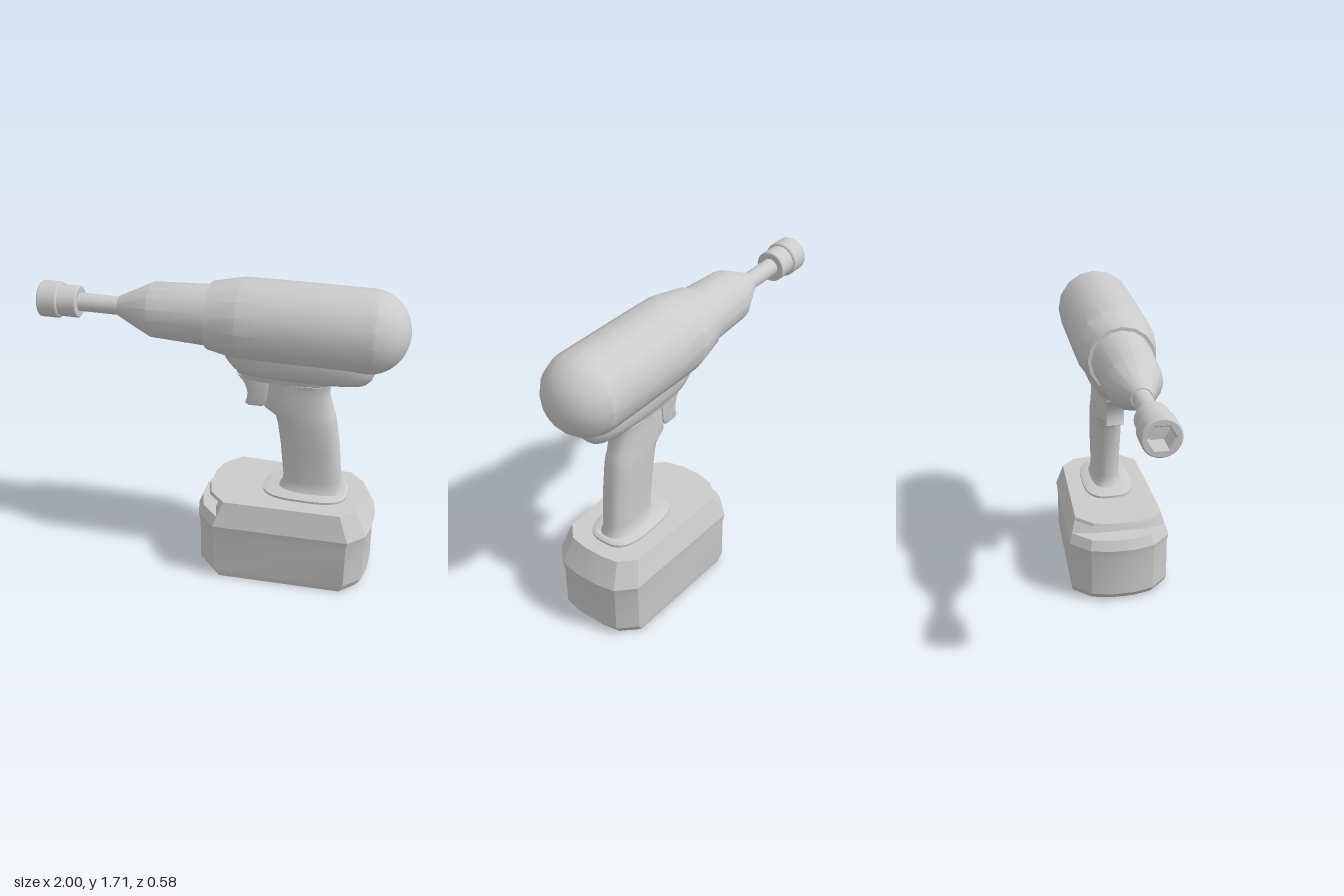
import * as THREE from 'three';
import { toCreasedNormals } from 'three/addons/utils/BufferGeometryUtils.js';

const AXIS_Y = 1.487; // height of the barrel axis

// Skin a stack of rings (bottom to top, each a loop of [x, y, z]) and cap both ends
function loft(rings, crease) {
  const n = rings[0].length, pos = [], index = [];
  rings.forEach(ring => ring.forEach(p => pos.push(...p)));
  for (let r = 0; r < rings.length - 1; r++) {
    for (let i = 0; i < n; i++) {
      const a = r * n + i, b = r * n + (i + 1) % n;
      index.push(a, a + n, b, b, a + n, b + n);
    }
  }
  [0, rings.length - 1].forEach(r => {
    const c = pos.length / 3;
    const mid = [0, 1, 2].map(k => rings[r].reduce((s, p) => s + p[k], 0) / n);
    pos.push(...mid);
    for (let i = 0; i < n; i++) {
      const a = r * n + i, b = r * n + (i + 1) % n;
      if (r === 0) index.push(c, a, b);
      else index.push(c, b, a);
    }
  });
  const g = new THREE.BufferGeometry();
  g.setAttribute('position', new THREE.Float32BufferAttribute(pos, 3));
  g.setIndex(index);
  return toCreasedNormals(g, crease);
}

// Rounded horizontal section from x0 to x1 with half width w
function section([y, x0, x1, w], power = 2.6, n = 32) {
  const bend = v => Math.sign(v) * Math.abs(v) ** (2 / power);
  return Array.from({ length: n }, (_, i) => {
    const t = i / n * Math.PI * 2;
    return [(x0 + x1) / 2 + (x1 - x0) / 2 * bend(Math.cos(t)), y, w * bend(Math.sin(t))];
  });
}

// Turned part along x from [x, radius] pairs
function turned(profile, sides) {
  const g = new THREE.LatheGeometry(profile.map(([x, r]) => new THREE.Vector2(r, x)), sides);
  g.rotateZ(-Math.PI / 2);
  g.translate(0, AXIS_Y, 0);
  return toCreasedNormals(g, 0.43);
}

export function createModel() {
  const group = new THREE.Group();
  const material = new THREE.MeshStandardMaterial({ color: 0xcccccc });
  const add = (name, geometry) => {
    const mesh = new THREE.Mesh(geometry, material);
    mesh.name = name;
    group.add(mesh);
  };

  // Motor housing with domed rear
  const housing = [[-0.05, 0], [-0.05, 0.182], [0.12, 0.218], [0.3, 0.22]];
  for (let i = 0; i <= 8; i++) {
    const t = i / 8 * Math.PI / 2;
    housing.push([0.79 + 0.21 * Math.sin(t), i === 8 ? 0 : 0.22 * Math.cos(t)]);
  }
  add('motorHousing', turned(housing, 16));

  // Tapered nose, output shaft and socket base
  add('nose', turned([[-0.555, 0], [-0.555, 0.056], [-0.37, 0.148], [-0.04, 0.164]], 16));
  add('shaft', turned([[-0.8, 0.05], [-0.54, 0.05]], 20));
  add('socketBase', turned([[-0.89, 0], [-0.89, 0.087], [-0.785, 0.087], [-0.78, 0.082], [-0.78, 0]], 24));

  // Socket head with hexagonal opening
  const ring = new THREE.Shape().absarc(0, 0, 0.092, 0, Math.PI * 2);
  const hex = Array.from({ length: 6 }, (_, i) => {
    const t = -i * Math.PI / 3;
    return new THREE.Vector2(0.072 * Math.cos(t), 0.072 * Math.sin(t));
  });
  ring.holes.push(new THREE.Path(hex));
  const socket = new THREE.ExtrudeGeometry(ring, {
    depth: 0.1, curveSegments: 14, bevelSize: 0.007, bevelThickness: 0.007, bevelSegments: 1,
  });
  socket.rotateY(Math.PI / 2);
  socket.translate(-0.993, AXIS_Y, 0);
  add('socketHead', toCreasedNormals(socket, 0.5));

  // Saddle below the housing
  add('saddle', loft([
    [1.192, 0.13, 0.77, 0.08], [1.2, 0.1, 0.8, 0.1], [1.23, 0.07, 0.825, 0.125],
    [1.27, 0.04, 0.84, 0.138], [1.31, 0.02, 0.845, 0.141], [1.38, 0.0, 0.83, 0.141],
  ].map(s => section(s, 3)), 0.7));

  // Grip, flared at both ends, stepped out over the trigger
  add('grip', loft([
    [0.495, 0.335, 0.715, 0.1], [0.52, 0.36, 0.7, 0.083], [0.57, 0.37, 0.694, 0.077],
    [0.77, 0.35, 0.675, 0.084], [0.9, 0.33, 0.655, 0.087], [0.955, 0.315, 0.645, 0.087],
    [0.98, 0.28, 0.64, 0.086], [1.0, 0.25, 0.632, 0.086], [1.09, 0.26, 0.606, 0.082],
    [1.14, 0.265, 0.605, 0.08], [1.165, 0.27, 0.612, 0.081], [1.165, 0.11, 0.612, 0.081],
    [1.2, 0.09, 0.64, 0.09], [1.24, 0.07, 0.67, 0.1],
  ].map(s => section(s)), 0.7));

  // Trigger
  const trigger = new THREE.Shape();
  trigger.moveTo(0.115, 1.18);
  trigger.quadraticCurveTo(0.16, 1.15, 0.17, 1.08);
  trigger.quadraticCurveTo(0.172, 1.045, 0.16, 1.018);
  trigger.lineTo(0.175, 1.01);
  trigger.lineTo(0.245, 1.012);
  trigger.lineTo(0.262, 1.04);
  trigger.lineTo(0.275, 1.18);
  const triggerGeo = new THREE.ExtrudeGeometry(trigger, {
    depth: 0.08, curveSegments: 5, bevelSize: 0.008, bevelThickness: 0.012, bevelSegments: 2,
  });
  triggerGeo.translate(0, 0, -0.04);
  add('trigger', toCreasedNormals(triggerGeo, 0.6));

  // Collar where the grip meets the battery
  add('collar', loft([
    [0.47, 0.262, 0.735, 0.146], [0.498, 0.262, 0.735, 0.146], [0.508, 0.3, 0.72, 0.125],
  ].map(s => section(s, 3)), 0.5));

  // Battery: chamfered plan, lofted upward with a latch slot cut in at -x
  const half = [[0.89, 0.07], [0.87, 0.18], [0.78, 0.27], [0.03, 0.292], [-0.075, 0.185], [-0.105, 0.07]];
  const plan = [...half, ...half.map(([x, z]) => [x, -z]).reverse()];
  const layer = (y, x0, x1, width, slot = -9) => plan.map(([x, z]) => [
    Math.max(slot, x0 + (x + 0.105) / 0.995 * (x1 - x0)), y, z * width,
  ]);
  add('battery', loft([
    layer(0, -0.06, 0.85, 0.95), layer(0.045, -0.097, 0.88, 0.975), layer(0.29, -0.097, 0.88, 0.975),
    layer(0.342, -0.105, 0.89, 1), layer(0.4, -0.08, 0.861, 0.94), layer(0.4, -0.08, 0.861, 0.94, 0.022),
    layer(0.468, -0.042, 0.828, 0.87, 0.045), layer(0.468, -0.042, 0.828, 0.87),
    layer(0.485, -0.035, 0.82, 0.855),
  ], 0.4));

  return group;
}
